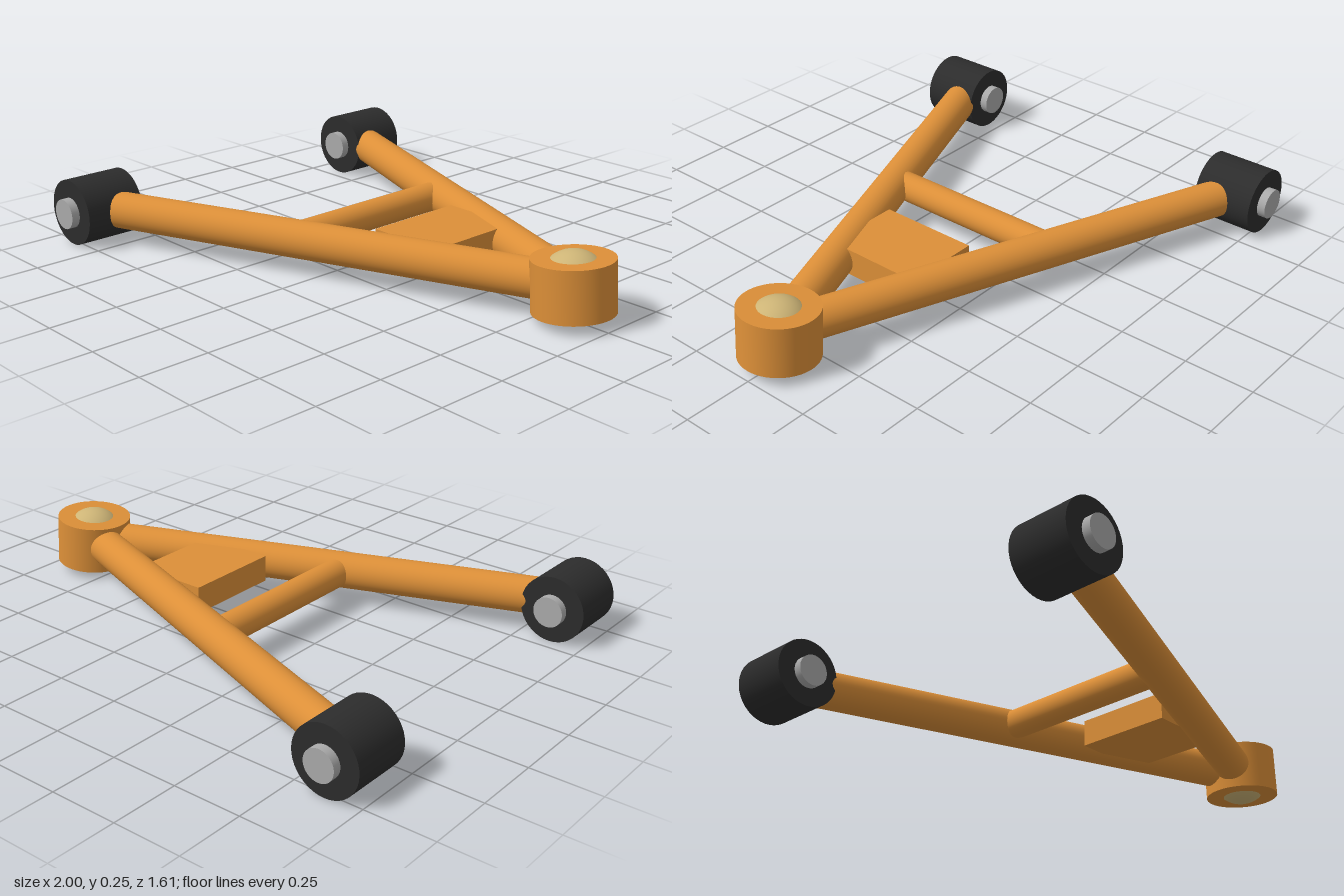
import * as THREE from 'three';

export function createModel() {
  const mat = (name, color) => {
    const m = new THREE.MeshStandardMaterial({ color });
    m.name = name;
    return m;
  };
  const paint = mat('orange paint', 0xdc8f38);
  const rubber = mat('black rubber', 0x2c2c2c);
  const steel = mat('steel', 0xaaaaaa);
  const brass = mat('pale brass', 0xcdb476);

  const group = new THREE.Group();
  group.name = 'controlArm';
  const Y = 0.1225, BUSH_X = -0.8775, BUSH_Z = 0.66, JOINT_X = 0.853;

  const add = (name, geometry, material, x = 0, y = Y, z = 0) => {
    const mesh = new THREE.Mesh(geometry, material);
    mesh.name = name;
    mesh.position.set(x, y, z);
    group.add(mesh);
    return mesh;
  };

  // Round bar between two points
  const bar = (name, a, b, radius, material) => {
    const dir = b.clone().sub(a);
    const mid = a.clone().add(b).multiplyScalar(0.5);
    const mesh = add(name, new THREE.CylinderGeometry(radius, radius, dir.length(), 40), material, mid.x, mid.y, mid.z);
    mesh.quaternion.setFromUnitVectors(new THREE.Vector3(0, 1, 0), dir.normalize());
    return mesh;
  };
  const at = (x, z) => new THREE.Vector3(x, Y, z);

  // Mirrored arms, each with a rubber bushing and its steel sleeve
  for (const [side, s] of [['left', 1], ['right', -1]]) {
    const z = s * BUSH_Z;
    bar(side + 'Arm', at(BUSH_X, z), at(JOINT_X, 0), 0.068, paint);
    bar(side + 'Bushing', at(BUSH_X, z - 0.113), at(BUSH_X, z + 0.113), 0.1225, rubber);
    bar(side + 'Sleeve', at(BUSH_X, z - 0.144), at(BUSH_X, z + 0.144), 0.056, steel);
  }

  // Cross brace and gusset between the arms
  bar('crossBrace', at(-0.1, -0.355), at(-0.1, 0.355), 0.054, paint);
  add('gusset', new THREE.BoxGeometry(0.29, 0.1, 0.375), paint, 0.275);

  // Slightly tilted ball joint housing, with the ball showing at both ends
  const housing = add('jointHousing', new THREE.CylinderGeometry(0.14, 0.14, 0.182, 48), paint, JOINT_X);
  housing.rotation.z = 0.07;
  add('jointBall', new THREE.SphereGeometry(0.117, 40, 28), brass, JOINT_X);

  return group;
}
